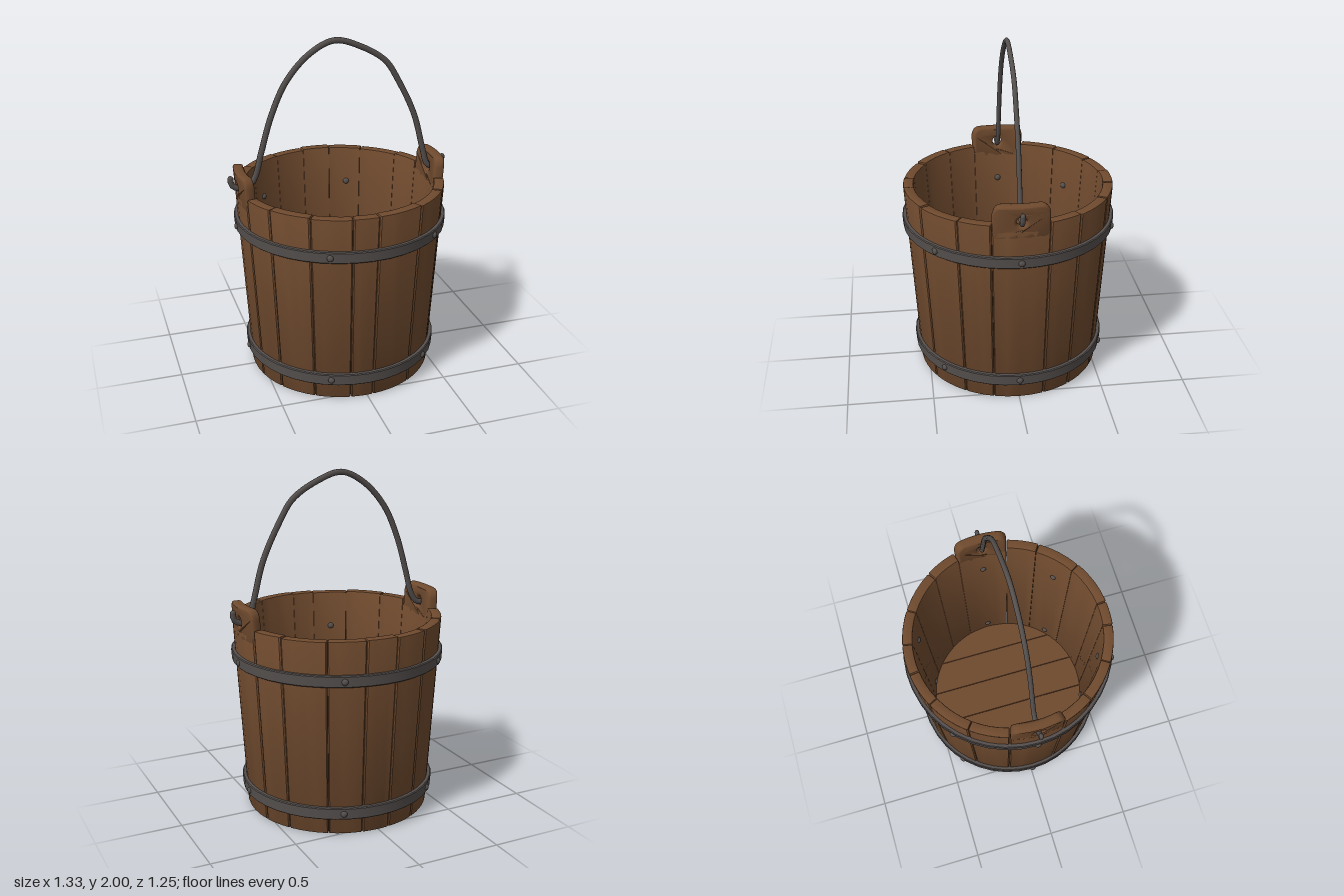
import * as THREE from 'three';
import { toCreasedNormals } from 'three/addons/utils/BufferGeometryUtils.js';

const wood = new THREE.MeshStandardMaterial({ color: 0x6f4a2e });
wood.name = 'brown wood';
const iron = new THREE.MeshStandardMaterial({ color: 0x55504e });
iron.name = 'dark iron';

const OUTER = 0.545, INNER = 0.485, FLARE = 0.06, HEIGHT = 1.16;
const outerAt = (y) => OUTER + FLARE * y;
const innerAt = (y) => INNER + FLARE * y;
const rad = THREE.MathUtils.degToRad;

function add(parent, name, geometry, material) {
  const mesh = new THREE.Mesh(geometry, material);
  mesh.name = name;
  parent.add(mesh);
  return mesh;
}

function warp(geometry, rule) {
  const p = geometry.attributes.position, v = new THREE.Vector3();
  for (let i = 0; i < p.count; i++) {
    rule(v.fromBufferAttribute(p, i));
    p.setXYZ(i, v.x, v.y, v.z);
  }
  return toCreasedNormals(geometry, 0.6);
}

// One stave: a ring sector with eased corners, extruded upward and flared
function staveGeometry(from, to, height) {
  const a0 = rad(from) + 0.002, a1 = rad(to) - 0.002, ease = 0.012, steps = 4, b = 0.008;
  const pts = [];
  const put = (r, a) => pts.push(new THREE.Vector2(r * Math.cos(a), -r * Math.sin(a)));
  put(OUTER - 0.006, a0);
  for (let i = 0; i <= steps; i++) put(OUTER, a0 + ease + (a1 - a0 - 2 * ease) * i / steps);
  put(OUTER - 0.006, a1);
  for (let i = steps; i >= 0; i--) put(INNER, a0 + (a1 - a0) * i / steps);
  const g = new THREE.ExtrudeGeometry(new THREE.Shape(pts), {
    depth: height - 2 * b, bevelSize: b, bevelThickness: b, bevelOffset: -b, bevelSegments: 2,
  });
  g.rotateX(-Math.PI / 2).translate(0, b, 0);
  return warp(g, (v) => {
    const r = Math.hypot(v.x, v.z), k = (r + FLARE * v.y) / r;
    v.x *= k;
    v.z *= k;
  });
}

// Raised lug with a handle hole, bent to follow the wall on the +x side
function earGeometry() {
  const w = 0.165, y0 = 1.07, y1 = 1.272, c = 0.055, b = 0.016, n = 8;
  const s = new THREE.Shape();
  s.moveTo(-w, y0);
  for (let i = 1; i <= n; i++) s.lineTo(-w + 2 * w * i / n, y0);
  s.lineTo(w, y1 - c);
  s.quadraticCurveTo(w - 0.008, y1, w - c, y1);
  for (let i = 1; i <= n; i++) s.lineTo((w - c) * (1 - 2 * i / n), y1);
  s.quadraticCurveTo(-w + 0.008, y1, -w, y1 - c);
  s.closePath();
  const hole = new THREE.Path();
  hole.absarc(0, 1.175, 0.03, 0, Math.PI * 2, true);
  s.holes.push(hole);
  const g = new THREE.ExtrudeGeometry(s, {
    depth: 0.06 - 2 * b, bevelSize: b, bevelThickness: b, bevelOffset: -b, bevelSegments: 3, curveSegments: 8,
  });
  g.translate(0, 0, b);
  return warp(g, (v) => {
    const r = innerAt(v.y) + v.z, a = v.x / 0.615;
    v.set(r * Math.cos(a), v.y, -r * Math.sin(a));
  });
}

// Flared iron hoop
function hoopGeometry(y0, y1) {
  const t = 0.023, e = 0.005;
  const profile = [
    [outerAt(y0) - 0.01, y0], [outerAt(y0) + t - e, y0], [outerAt(y0) + t, y0 + e],
    [outerAt(y1) + t, y1 - e], [outerAt(y1) + t - e, y1], [outerAt(y1) - 0.01, y1],
  ].map(([x, y]) => new THREE.Vector2(x, y));
  return toCreasedNormals(new THREE.LatheGeometry(profile, 40), 0.6);
}

// Floor board: slice of a disc between two x positions
function boardGeometry(x0, x1, r) {
  const pts = [], n = 10;
  for (let i = 0; i <= n; i++) {
    const x = x0 + (x1 - x0) * i / n;
    pts.push(new THREE.Vector2(x, Math.sqrt(Math.max(0, r * r - x * x))));
  }
  for (let i = n; i >= 0; i--) pts.push(new THREE.Vector2(pts[i].x, -pts[i].y));
  if (x0 <= -r) pts.pop();
  if (x1 >= r) pts.splice(n, 1);
  const g = new THREE.ExtrudeGeometry(new THREE.Shape(pts), { depth: 0.05, bevelEnabled: false });
  return g.rotateX(-Math.PI / 2).translate(0, 0.03, 0);
}

export function createModel() {
  const bucket = new THREE.Group();
  bucket.name = 'bucket';

  // Wall of uneven staves; the two at the sides carry the lugs
  const seams = [-15.5, 15.5, 34, 59.5, 86.3, 100.3, 122.4, 146, 164.5,
    195.5, 218, 243, 263, 280.5, 301, 326, 344.5];
  const staves = new THREE.Group();
  staves.name = 'staves';
  bucket.add(staves);
  for (let i = 0; i < seams.length - 1; i++) {
    const isEar = i === 0 || i === 8;
    const height = isEar ? 1.12 : HEIGHT - (i % 3) * 0.003;
    add(staves, isEar ? 'earStave' : 'stave', staveGeometry(seams[i], seams[i + 1], height), wood);
  }
  for (const turn of [0, Math.PI]) add(staves, 'handleEar', earGeometry(), wood).rotation.y = turn;

  // Floor boards
  const floor = new THREE.Group();
  floor.name = 'floor';
  bucket.add(floor);
  const cuts = [-0.492, -0.31, -0.1, 0.11, 0.31, 0.492];
  for (let i = 0; i < cuts.length - 1; i++) {
    const a = cuts[i] + (i > 0 ? 0.002 : 0), b = cuts[i + 1] - (i < 4 ? 0.002 : 0);
    add(floor, 'floorBoard', boardGeometry(a, b, 0.492), wood);
  }

  // Hoops, with rivet heads outside and inside the wall
  const rivetHead = new THREE.SphereGeometry(0.019, 12, 8);
  for (const [name, y0, y1] of [['lowerHoop', 0.1, 0.172], ['upperHoop', 0.9, 0.968]]) {
    const hoop = new THREE.Group();
    hoop.name = name;
    bucket.add(hoop);
    add(hoop, 'hoopBand', hoopGeometry(y0, y1), iron);
    const y = (y0 + y1) / 2;
    for (const deg of [0, 47.5, 112, 180, 227.5, 292]) {
      for (const r of [outerAt(y) + 0.023, innerAt(y)]) {
        const head = add(hoop, 'rivet', rivetHead, iron);
        head.position.set(r * Math.cos(rad(deg)), y, r * Math.sin(rad(deg)));
        head.rotation.y = -rad(deg);
        head.scale.x = 0.7;
      }
    }
  }

  // Bent wire handle, hooked through both lugs
  const path = [
    [-0.648, 1.228], [-0.642, 1.19], [-0.605, 1.168], [-0.545, 1.172], [-0.505, 1.225],
    [-0.465, 1.365], [-0.4, 1.58], [-0.31, 1.77], [-0.175, 1.915], [-0.03, 1.982],
    [0.127, 1.937], [0.275, 1.845], [0.355, 1.725], [0.46, 1.51], [0.522, 1.285],
    [0.553, 1.19], [0.605, 1.168], [0.642, 1.19], [0.648, 1.228],
  ].map(([x, y]) => new THREE.Vector3(x, y, 0));
  const handle = new THREE.Group();
  handle.name = 'handle';
  handle.scale.z = 0.8;
  bucket.add(handle);
  add(handle, 'handleWire', new THREE.TubeGeometry(new THREE.CatmullRomCurve3(path), 110, 0.0175, 10), iron);
  for (const end of [path[0], path[path.length - 1]]) {
    add(handle, 'handleTip', new THREE.SphereGeometry(0.0175, 10, 8), iron).position.copy(end);
  }

  return bucket;
}
